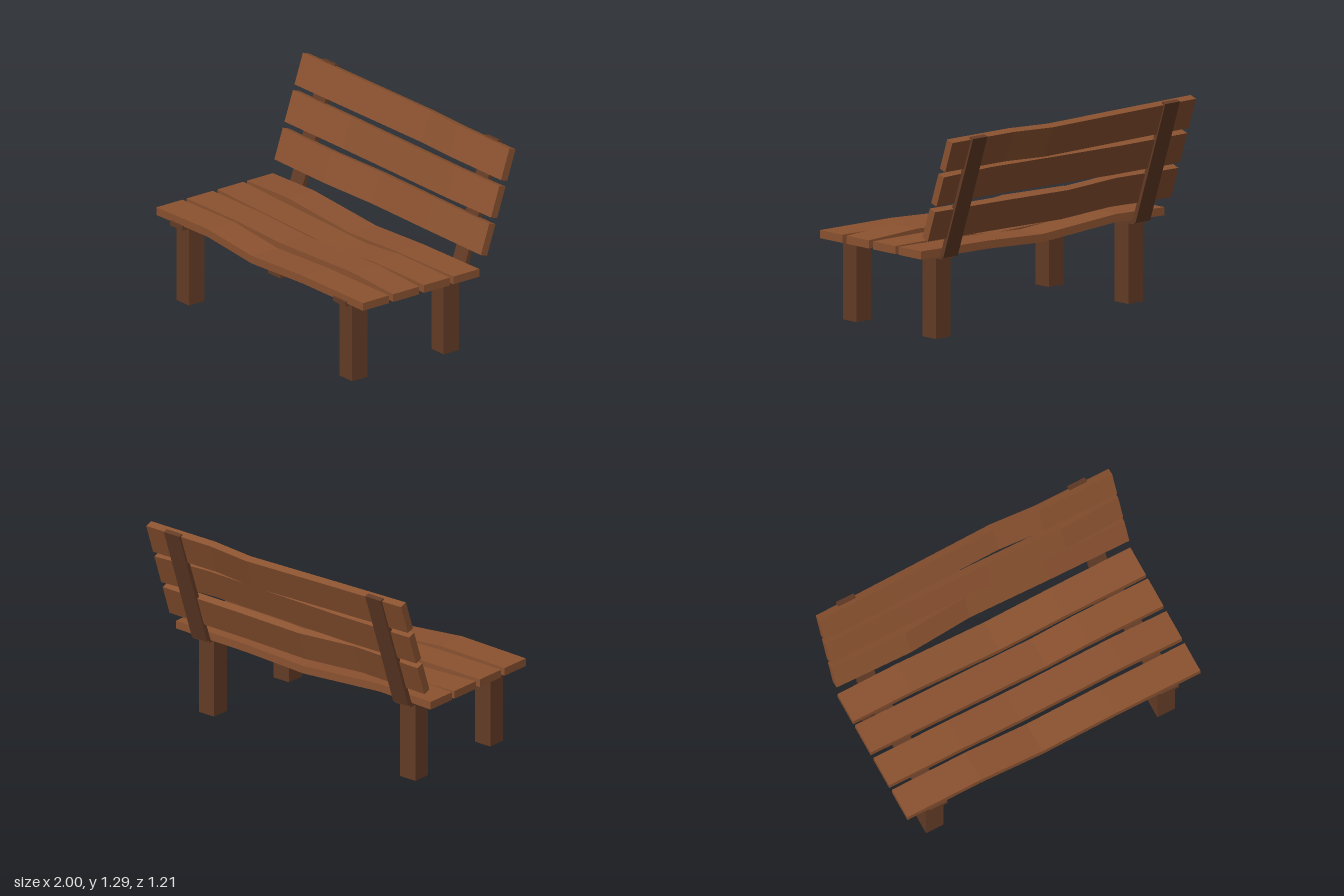
import * as THREE from 'three';

const wood = new THREE.MeshStandardMaterial({ color: 0x8b5230, flatShading: true });
const darkWood = new THREE.MeshStandardMaterial({ color: 0x643c26, flatShading: true });
const TILT = THREE.MathUtils.degToRad(19);

// Warped plank: each bend is [x, offset] along the board's thickness
function plank(name, bends, y, z, rotX = 0) {
  const keys = [[-1, 0], ...bends, [1, 0]];
  const n = keys.length - 1;
  const geo = new THREE.BoxGeometry(2, 0.05, 0.2, n, 1, 1);
  const p = geo.attributes.position;
  for (let i = 0; i < p.count; i++) {
    const [x, d] = keys[Math.round((p.getX(i) + 1) / 2 * n)];
    p.setX(i, x);
    p.setY(i, p.getY(i) + d);
  }
  geo.computeVertexNormals();
  const mesh = new THREE.Mesh(geo, wood);
  mesh.name = name;
  mesh.position.set(0, y, z);
  mesh.rotation.x = rotX;
  return mesh;
}

function beam(name, w, h, d, x, y, z, rotX = 0) {
  const mesh = new THREE.Mesh(new THREE.BoxGeometry(w, h, d), darkWood);
  mesh.name = name;
  mesh.position.set(x, y, z);
  mesh.rotation.x = rotX;
  return mesh;
}

export function createModel() {
  const bench = new THREE.Group();
  bench.name = 'bench';

  // Seat planks, front to back
  const seat = [
    [0.493, [[-0.5, 0.012], [-0.08, -0.028], [0.42, -0.004]]],
    [0.26, [[-0.5, 0.004], [-0.1, -0.008], [0.6, 0.018]]],
    [0.022, [[-0.6, -0.012], [0.2, -0.029], [0.5, 0]]],
    [-0.203, [[-0.6, 0.012], [0, -0.029], [0.45, -0.008]]],
  ];
  seat.forEach(([z, bends], i) => bench.add(plank(`seatPlank${i + 1}`, bends, 0.539, z)));

  // Backrest planks, bottom to top
  const back = [
    [0.737, -0.371, [[-0.5, 0.014], [-0.08, -0.022], [0.45, -0.008]]],
    [0.962, -0.449, [[-0.45, -0.004], [0.1, 0.008], [0.6, 0.02]]],
    [1.185, -0.526, [[-0.5, -0.01], [0.2, -0.026], [0.5, 0]]],
  ];
  back.forEach(([y, z, bends], i) =>
    bench.add(plank(`backPlank${i + 1}`, bends, y, z, Math.PI / 2 - TILT)));

  // Frame on each side: legs, seat rail and leaning back post
  for (const [side, x] of [['right', -0.793], ['left', 0.787]]) {
    bench.add(
      beam(`${side}FrontLeg`, 0.12, 0.5, 0.12, x, 0.25, 0.495),
      beam(`${side}BackLeg`, 0.12, 0.5, 0.12, x, 0.25, -0.21),
      beam(`${side}SeatRail`, 0.12, 0.03, 0.925, x, 0.511, 0.1425),
      beam(`${side}BackPost`, 0.12, 0.815, 0.03, x, 0.897, -0.4525, -TILT),
    );
  }
  return bench;
}
